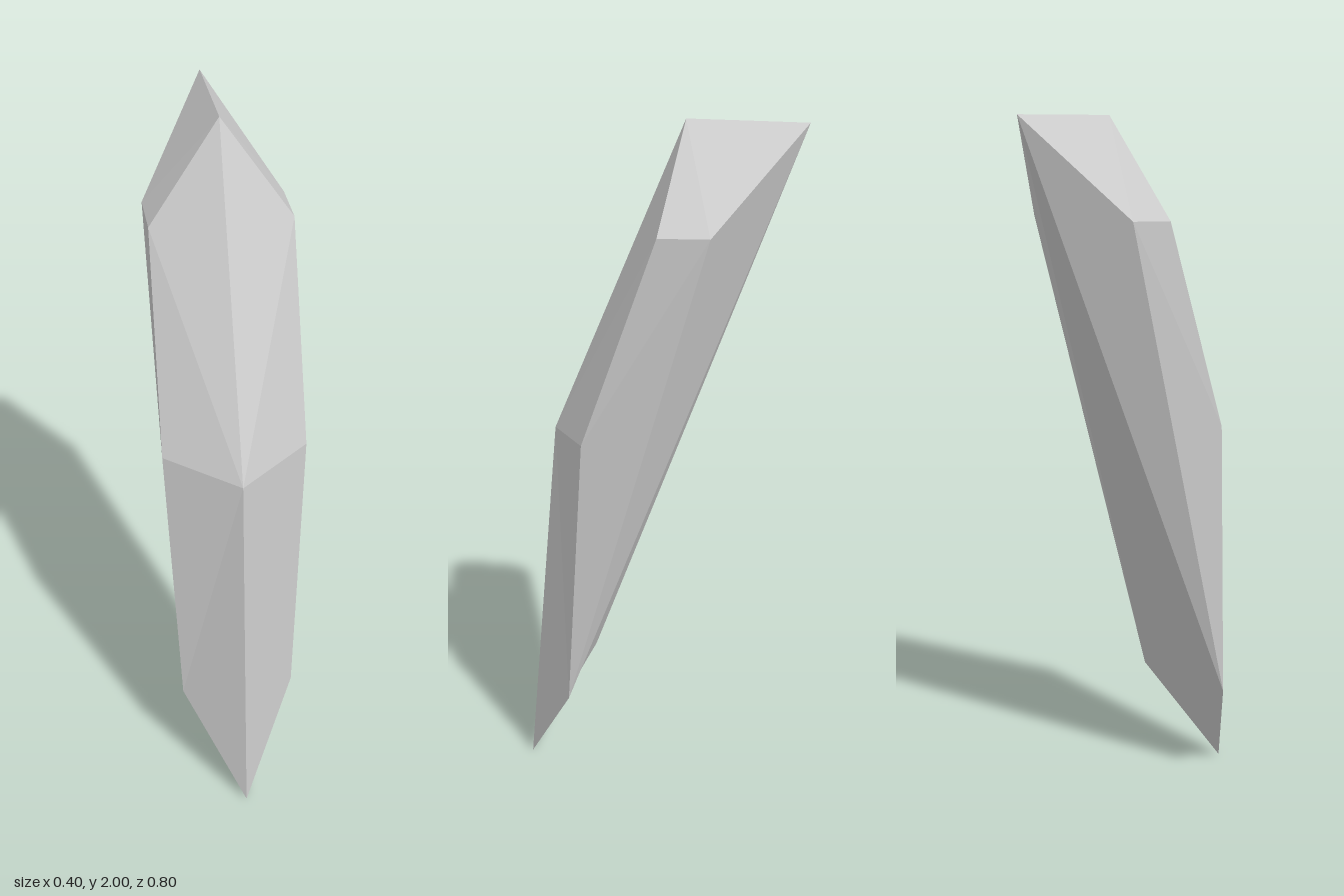
import * as THREE from 'three';

// Corner points of the +x half; the other half is mirrored
const P = {
  tip: [0, 0, 0.4],
  low: [0.165, 0.32, 0.227],
  midFront: [0, 1.12, 0.292],
  midSide: [0.198, 1.15, 0.163],
  topFront: [0, 2, -0.082],
  shoulderFront: [0.191, 1.73, -0.045],
  shoulderBack: [0.191, 1.735, -0.184],
  topBack: [0, 2, -0.402],
};

// Facets of one half, counter-clockwise seen from outside
const facets = [
  ['tip', 'low', 'midFront'], ['low', 'midSide', 'midFront'],                               // lower front
  ['midFront', 'midSide', 'shoulderFront'], ['midFront', 'shoulderFront', 'topFront'],      // upper front
  ['low', 'shoulderBack', 'midSide'], ['midSide', 'shoulderBack', 'shoulderFront'],         // side
  ['topFront', 'shoulderFront', 'shoulderBack'], ['topFront', 'shoulderBack', 'topBack'],   // slanted top
  ['low', 'topBack', 'shoulderBack'],                                                       // back bevel
  ['low', 'tip', 'topBack'],                                                                // back groove
];

export function createModel() {
  const positions = [];
  for (const side of [1, -1]) {
    for (const facet of facets) {
      const order = side > 0 ? facet : [...facet].reverse();
      for (const name of order) {
        const [x, y, z] = P[name];
        positions.push(x * side, y, z);
      }
    }
  }
  const geometry = new THREE.BufferGeometry();
  geometry.setAttribute('position', new THREE.Float32BufferAttribute(positions, 3));
  geometry.computeVertexNormals();

  const shard = new THREE.Mesh(
    geometry,
    new THREE.MeshStandardMaterial({ color: 0xcccccc, flatShading: true })
  );
  shard.name = 'crystalShard';

  const group = new THREE.Group();
  group.name = 'crystal';
  group.add(shard);
  return group;
}
